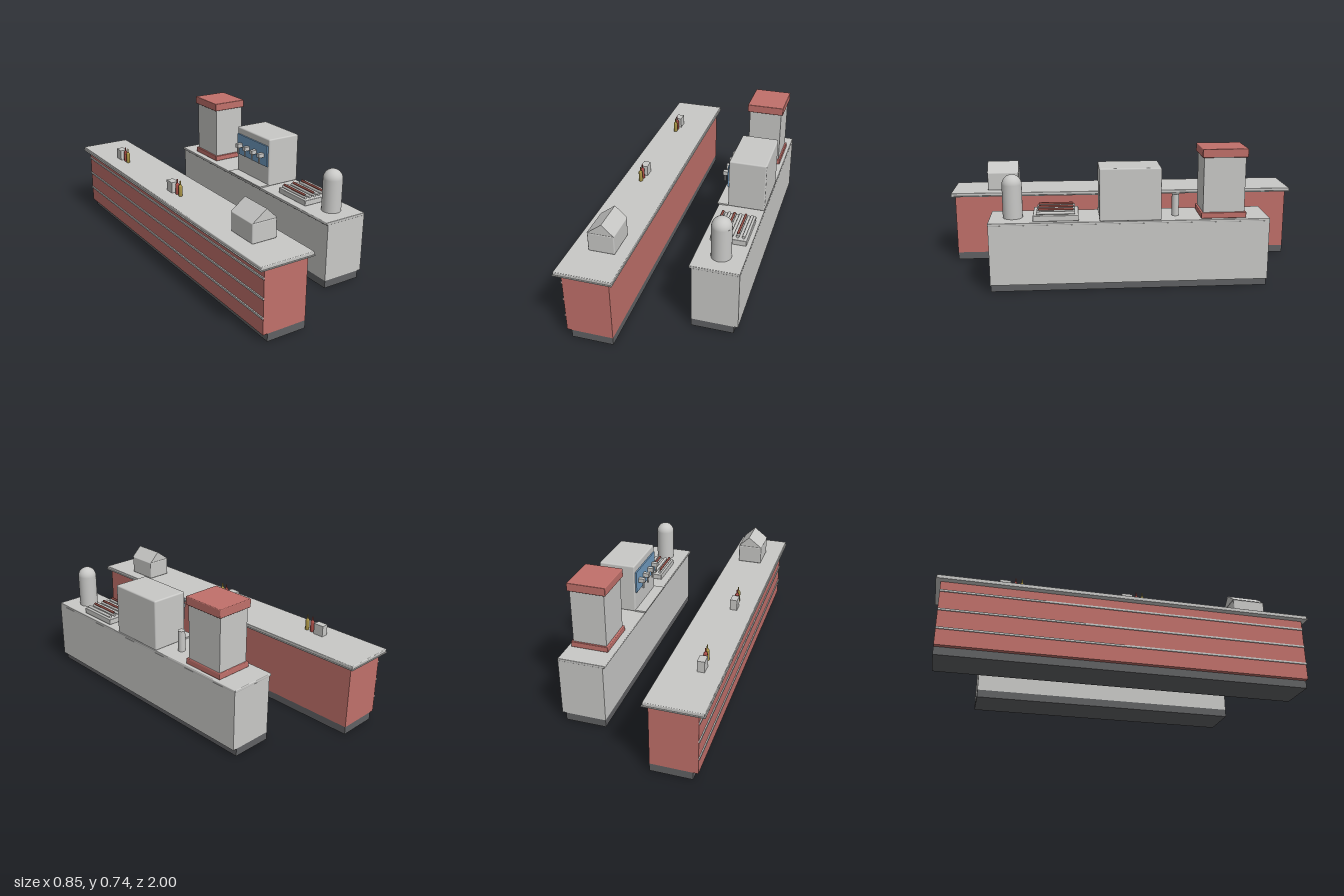
import * as THREE from 'three';
import { RoundedBoxGeometry } from 'three/addons/geometries/RoundedBoxGeometry.js';

const mat = (name, color, flatShading = false) => {
  const m = new THREE.MeshStandardMaterial({ color });
  m.name = name;
  m.flatShading = flatShading;
  return m;
};

export function createModel() {
  const root = new THREE.Group();
  root.name = 'serviceCounters';

  const grey = mat('lightGrey', 0xc8c8c6);
  const red = mat('red', 0xc0706a);
  const dark = mat('darkGrey', 0x606163);
  const blue = mat('blue', 0x6f9abf);
  const brown = mat('sausageBrown', 0x8c4a42);
  const ketchup = mat('ketchupRed', 0xb0504a);
  const mustard = mat('mustardYellow', 0xb09a48);

  const group = (name) => {
    const g = new THREE.Group();
    g.name = name;
    root.add(g);
    return g;
  };
  const add = (parent, name, geometry, material, x = 0, y = 0, z = 0) => {
    const m = new THREE.Mesh(geometry, material);
    m.name = name;
    m.position.set(x, y, z);
    parent.add(m);
    return m;
  };
  // Box given by its limits on each axis; a bevel rounds its edges.
  const box = (parent, name, material, [x0, x1], [y0, y1], [z0, z1], bevel = 0) => {
    const size = [x1 - x0, y1 - y0, z1 - z0];
    const geo = bevel ? new RoundedBoxGeometry(...size, 2, bevel) : new THREE.BoxGeometry(...size);
    return add(parent, name, geo, material, (x0 + x1) / 2, (y0 + y1) / 2, (z0 + z1) / 2);
  };

  // Long customer counter
  const front = group('customerCounter');
  box(front, 'toeKick', dark, [-0.364, -0.146], [0, 0.042], [-0.975, 0.975]);
  box(front, 'cabinet', red, [-0.389, -0.146], [0.042, 0.386], [-0.975, 0.975]);
  box(front, 'worktopLip', grey, [-0.424, -0.122], [0.384, 0.388], [-0.999, 0.999]);
  box(front, 'worktop', grey, [-0.42, -0.125], [0.388, 0.406], [-0.996, 0.996], 0.004);
  for (const y of [0.13, 0.23, 0.333]) {
    box(front, 'trimStrip', grey, [-0.395, -0.388], [y - 0.005, y + 0.005], [-0.975, 0.975]);
  }

  // Shorter back counter
  const back = group('backCounter');
  box(back, 'toeKick', dark, [0.18, 0.402], [0, 0.042], [-0.73, 0.73]);
  box(back, 'cabinet', grey, [0.18, 0.423], [0.042, 0.362], [-0.73, 0.73]);
  box(back, 'worktop', grey, [0.168, 0.423], [0.36, 0.375], [-0.732, 0.732], 0.004);

  // Display case with a pitched lid
  const house = group('pitchedCase');
  box(house, 'caseBody', grey, [-0.327, -0.187], [0.406, 0.511], [0.61, 0.79], 0.006);
  const gable = new THREE.Shape([
    new THREE.Vector2(-0.327, 0.511),
    new THREE.Vector2(-0.187, 0.511),
    new THREE.Vector2(-0.248, 0.57),
  ]);
  add(house, 'pitchedLid', new THREE.ExtrudeGeometry(gable, { depth: 0.18, bevelEnabled: false }), grey, 0, 0, 0.61);

  // Napkin boxes, each with two sauce bottles
  const bottle = new THREE.LatheGeometry([
    [0, 0], [0.011, 0], [0.011, 0.055], [0.011, 0.055], [0.004, 0.066], [0.003, 0.085], [0, 0.087],
  ].map(([r, y]) => new THREE.Vector2(r, y)), 16);
  for (const z of [-0.653, -0.003]) {
    const set = group('condimentSet');
    box(set, 'napkinBox', grey, [-0.33, -0.291], [0.406, 0.466], [z - 0.029, z + 0.029]);
    add(set, 'redBottle', bottle, ketchup, -0.31, 0.406, z + 0.055);
    add(set, 'yellowBottle', bottle, mustard, -0.31, 0.406, z + 0.088);
  }

  // Square tower with red base and cap
  const tower = group('capTower');
  box(tower, 'towerBase', red, [0.2, 0.404], [0.375, 0.406], [-0.609, -0.371], 0.004);
  box(tower, 'towerBody', grey, [0.21, 0.394], [0.404, 0.698], [-0.599, -0.381]);
  box(tower, 'towerCap', red, [0.198, 0.405], [0.696, 0.741], [-0.609, -0.371], 0.004);

  // Cup stack
  add(group('cupStack'), 'cups', new THREE.CylinderGeometry(0.019, 0.019, 0.115, 24), grey, 0.32, 0.4325, -0.245);

  // Drinks machine with four taps
  const machine = group('drinksMachine');
  box(machine, 'machineBody', grey, [0.22, 0.423], [0.375, 0.652], [-0.16, 0.16], 0.008);
  box(machine, 'controlPanel', blue, [0.212, 0.221], [0.49, 0.612], [-0.15, 0.15]);
  box(machine, 'dripTray', grey, [0.16, 0.222], [0.376, 0.384], [-0.16, 0.16]);
  for (let i = 0; i < 4; i++) {
    const z = -0.108 + i * 0.072;
    box(machine, 'tap', grey, [0.179, 0.214], [0.54, 0.563], [z - 0.012, z + 0.012]);
    add(machine, 'nozzle', new THREE.CylinderGeometry(0.005, 0.005, 0.037, 12), grey, 0.188, 0.5225, z);
  }

  // Roller grill, sausages resting on alternate rollers
  const grill = group('rollerGrill');
  box(grill, 'grillTray', grey, [0.212, 0.401], [0.375, 0.406], [0.266, 0.502], 0.004);
  for (let i = 0; i < 6; i++) {
    const x = 0.229 + i * 0.0305;
    const roller = new THREE.CylinderGeometry(0.008, 0.008, 0.2, 16).rotateX(Math.PI / 2);
    add(grill, 'roller', roller, grey, x, 0.415, 0.384);
    if (i % 2 === 0) {
      const sausage = new THREE.CapsuleGeometry(0.0065, 0.172, 4, 12).rotateX(Math.PI / 2);
      add(grill, 'sausage', sausage, brown, x, 0.428, 0.384);
    }
  }

  // Domed urn
  const urn = group('domedUrn');
  add(urn, 'urnBody', new THREE.CylinderGeometry(0.052, 0.052, 0.178, 32), grey, 0.3, 0.464, 0.61);
  add(urn, 'urnDome', new THREE.SphereGeometry(0.052, 32, 8, 0, Math.PI * 2, 0, Math.PI / 2), grey, 0.3, 0.552, 0.61);

  return root;
}
